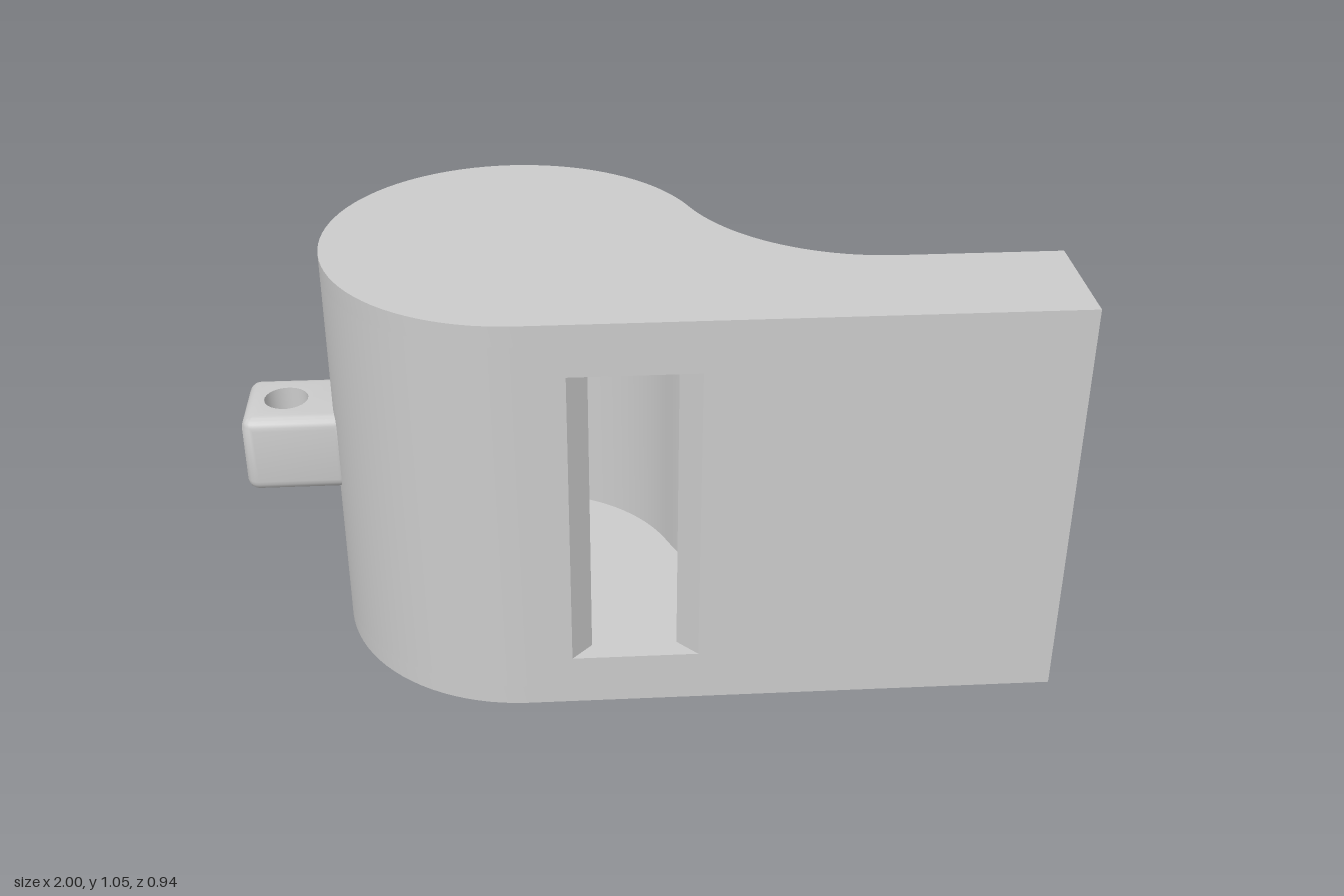
import * as THREE from 'three';
import { toCreasedNormals } from 'three/addons/utils/BufferGeometryUtils.js';

const HEIGHT = 1.05, WALL = 0.052, FRONT = 0.47;
const CHAMBER = { x: -0.31, z: 0, r: 0.47 };   // round sound chamber
const NECK = { x: 0.6, z: -0.35, r: 0.505 };   // concave sweep into the mouthpiece
const TANGENT = Math.atan2(NECK.z, NECK.x - CHAMBER.x);

const material = new THREE.MeshStandardMaterial({ color: 0xcccccc });

function addMesh(parent, name, geometry) {
  const mesh = new THREE.Mesh(geometry, material);
  mesh.name = name;
  parent.add(mesh);
  return mesh;
}

function arc(c, r, from, to, steps) {
  return Array.from({ length: steps + 1 }, (_, i) => {
    const a = from + (to - from) * i / steps;
    return new THREE.Vector2(c.x + r * Math.cos(a), c.z + r * Math.sin(a));
  });
}

// Chamber and back wall line seen from above, moved inward by an inset
function backLine(inset) {
  return [
    ...arc(CHAMBER, CHAMBER.r - inset, Math.PI / 2, 2 * Math.PI + TANGENT, 64),
    ...arc(NECK, NECK.r + inset, Math.PI + TANGENT, Math.PI / 2, 24).slice(1),
    new THREE.Vector2(1, NECK.z + NECK.r + inset),
  ];
}

// Extrude a plan outline (x, z) between two heights
function slab(points, y0, y1) {
  const g = new THREE.ExtrudeGeometry(new THREE.Shape(points), { depth: y1 - y0, bevelEnabled: false });
  g.rotateX(Math.PI / 2).translate(0, y1, 0);
  return toCreasedNormals(g, 0.5);
}

// Rounded block with a vertical hole, skinned ring by ring
function lugGeometry() {
  const x0 = -1, x1 = -0.74, z0 = -0.108, z1 = 0.121, y0 = 0.425, y1 = 0.63;
  const r = 0.03, perCorner = 6, n = perCorner * 4;
  const hole = { x: -0.897, z: 0.006, r: 0.055 };
  const blockRing = (inset, y) => {
    const ring = [];
    for (let k = 0; k < 4; k++) {
      const cx = k === 0 || k === 3 ? x1 - r : x0 + r;
      const cz = k < 2 ? z1 - r : z0 + r;
      for (let j = 0; j < perCorner; j++) {
        const a = (k + j / (perCorner - 1)) * Math.PI / 2;
        ring.push([cx + (r - inset) * Math.cos(a), y, cz + (r - inset) * Math.sin(a)]);
      }
    }
    return ring;
  };
  const holeRing = y => Array.from({ length: n }, (_, i) => {
    const a = (i + 0.5) / n * 2 * Math.PI;
    return [hole.x + hole.r * Math.cos(a), y, hole.z + hole.r * Math.sin(a)];
  });
  const rings = [holeRing(y0), holeRing(y1)];
  for (let i = 0; i <= 5; i++) {
    const a = i / 5 * Math.PI / 2;
    rings.push(blockRing(0.99 * r * (1 - Math.sin(a)), y1 - r + r * Math.cos(a)));
  }
  for (let i = 0; i <= 5; i++) {
    const a = i / 5 * Math.PI / 2;
    rings.push(blockRing(0.99 * r * (1 - Math.cos(a)), y0 + r - r * Math.sin(a)));
  }
  rings.push(rings[0]);
  const index = [];
  for (let k = 0; k < rings.length - 1; k++) {
    for (let i = 0; i < n; i++) {
      const a = k * n + i, b = k * n + (i + 1) % n;
      index.push(a, b, a + n, b, b + n, a + n);
    }
  }
  const g = new THREE.BufferGeometry();
  g.setAttribute('position', new THREE.Float32BufferAttribute(rings.flat(2), 3));
  g.setIndex(index);
  return toCreasedNormals(g, 0.6);
}

export function createModel() {
  const model = new THREE.Group();
  model.name = 'whistle';
  const v = (x, z) => new THREE.Vector2(x, z);
  const inner = FRONT - WALL, top = HEIGHT - WALL;

  // Floor and roof
  const outline = [...backLine(0), v(1, FRONT)];
  addMesh(model, 'floor', slab(outline, 0, WALL));
  addMesh(model, 'roof', slab(outline, top, HEIGHT));

  // Chamber wall, running from the window round the back to the mouth
  const chamberWall = [v(-0.2, FRONT), ...backLine(0), ...backLine(WALL).reverse(), v(-0.15, inner)];
  addMesh(model, 'chamberWall', slab(chamberWall, WALL, top));

  // Mouthpiece front wall
  addMesh(model, 'mouthpieceWall',
    slab([v(0.11, FRONT), v(1, FRONT), v(1, inner), v(0.06, inner)], WALL, top));

  // Strips of wall below and above the bevelled window
  const strip = [v(-0.2, FRONT), v(0.11, FRONT), v(0.06, inner), v(-0.15, inner)];
  addMesh(model, 'windowSill', slab(strip, WALL, 0.132));
  addMesh(model, 'windowLintel', slab(strip, 0.918, top));

  // Loose ball in the chamber
  addMesh(model, 'ball', new THREE.SphereGeometry(0.17, 32, 20)).position.set(-0.33, 0.685, -0.03);

  // Cord lug
  addMesh(model, 'cordLug', lugGeometry());

  return model;
}
